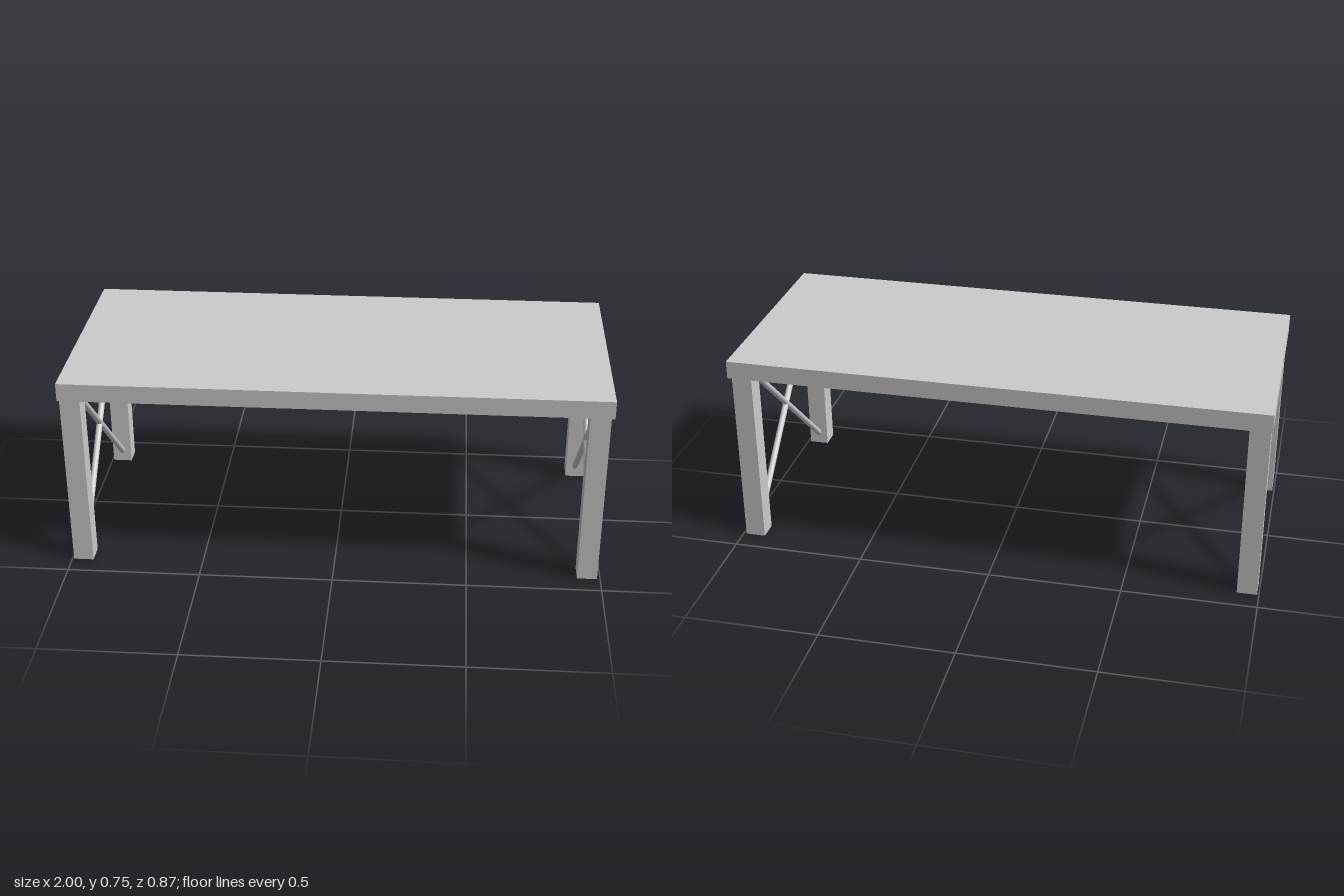
import * as THREE from 'three';

const material = new THREE.MeshStandardMaterial({ color: 0xcccccc });

function addBox(parent, name, size, position) {
  const mesh = new THREE.Mesh(new THREE.BoxGeometry(...size), material);
  mesh.name = name;
  mesh.position.set(...position);
  parent.add(mesh);
}

// Round rod spanning two points
function addRod(parent, name, from, to, radius) {
  const dir = to.clone().sub(from);
  const mesh = new THREE.Mesh(new THREE.CylinderGeometry(radius, radius, dir.length(), 20), material);
  mesh.name = name;
  mesh.position.copy(from).add(to).multiplyScalar(0.5);
  mesh.quaternion.setFromUnitVectors(new THREE.Vector3(0, 1, 0), dir.normalize());
  parent.add(mesh);
}

export function createModel() {
  const table = new THREE.Group();
  table.name = 'table';

  const topY = 0.75, legH = 0.682, legW = 0.075;
  addBox(table, 'tableTop', [2, topY - legH, 0.866], [0, (topY + legH) / 2, 0]);

  // Each end: two square legs and a pair of crossed round braces
  const frontZ = 0.387, backZ = -0.382;
  for (const [side, x] of [['left', 0.951], ['right', -0.956]]) {
    const end = new THREE.Group();
    end.name = side + 'EndFrame';
    addBox(end, side + 'FrontLeg', [legW, legH, legW], [x, legH / 2, frontZ]);
    addBox(end, side + 'BackLeg', [legW, legH, legW], [x, legH / 2, backZ]);

    const low = 0.025, high = 0.711;
    const zF = 0.377, zB = -0.373;
    addRod(end, side + 'RisingBrace', new THREE.Vector3(x, low, zF), new THREE.Vector3(x, high, zB), 0.012);
    addRod(end, side + 'FallingBrace', new THREE.Vector3(x, high, zF), new THREE.Vector3(x, low, zB), 0.012);
    table.add(end);
  }
  return table;
}
